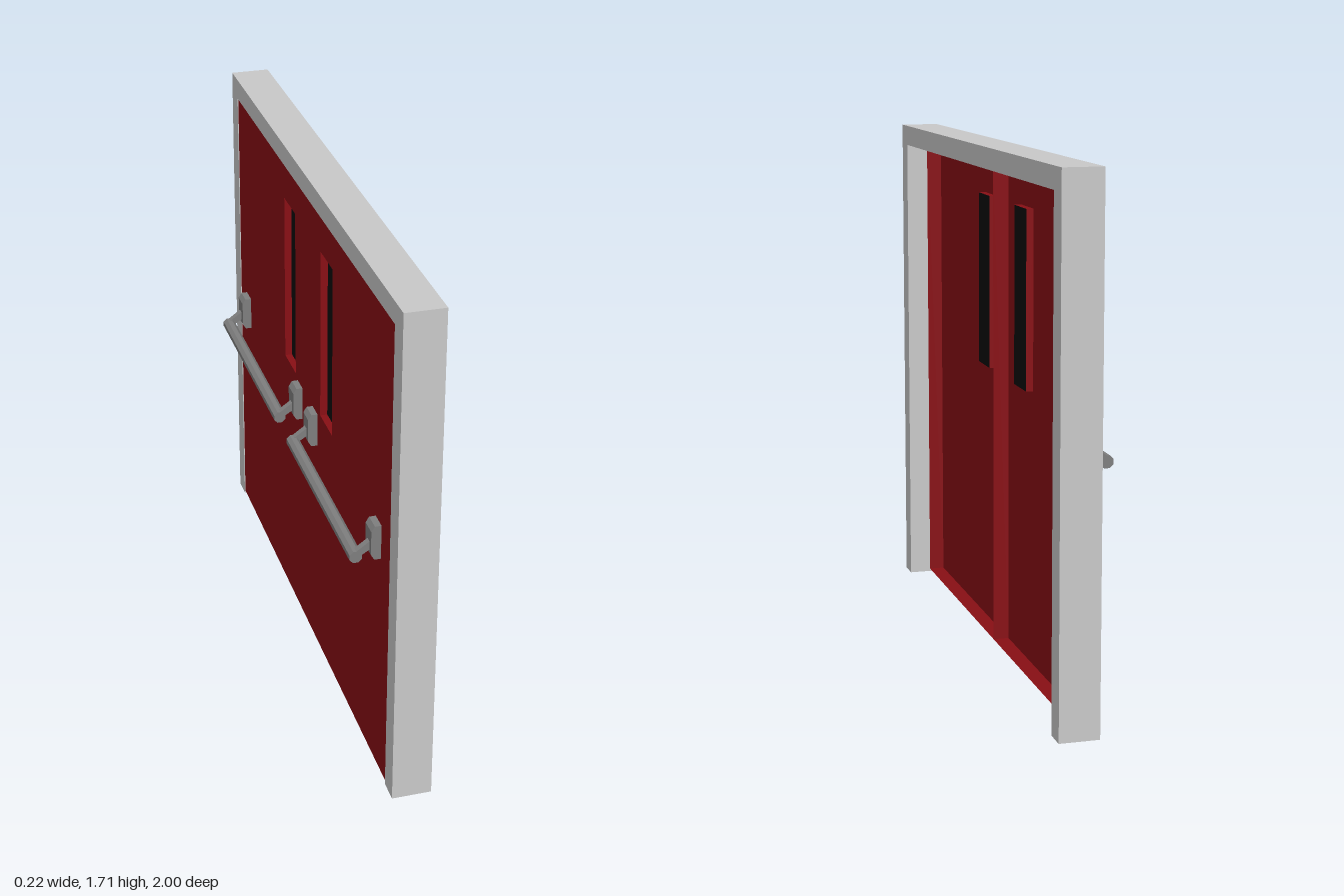
import * as THREE from 'three';

const DS = THREE.DoubleSide;
const grey = new THREE.MeshStandardMaterial({ color: 0xcccccc, side: DS });
const red = new THREE.MeshStandardMaterial({ color: 0x8a0f15, side: DS });
const black = new THREE.MeshStandardMaterial({ color: 0x0c0c0c, side: DS });
const steel = new THREE.MeshStandardMaterial({ color: 0x808080, flatShading: true });

// Box given by its limits; faces in `omit` (0..5 = +x -x +y -y +z -z) are left open
function box(name, material, [x0, x1], [y0, y1], [z0, z1], omit = []) {
  const g = new THREE.BoxGeometry(x1 - x0, y1 - y0, z1 - z0);
  const index = Array.from(g.index.array).filter((_, i) => !omit.includes(Math.floor(i / 6)));
  g.setIndex(index);
  g.clearGroups();
  g.translate((x0 + x1) / 2, (y0 + y1) / 2, (z0 + z1) / 2);
  const m = new THREE.Mesh(g, material);
  m.name = name;
  return m;
}

// Rectangle in the z-y plane
function rect(C, [z0, z1], [y0, y1]) {
  return new C([[z0, y0], [z1, y0], [z1, y1], [z0, y1]].map(p => new THREE.Vector2(...p)));
}

// Sheet metal door leaf, open at the back, with a recessed window
function doorLeaf(side) {
  const leaf = new THREE.Group();
  leaf.name = side > 0 ? 'leftLeaf' : 'rightLeaf';
  const span = (a, b) => (side > 0 ? [a, b] : [-b, -a]);
  const face = -0.018, back = 0.035, paneX = 0.006;
  const leafZ = span(0, 0.923), leafY = [0.01, 1.638];
  const winZ = span(0.153, 0.291), winY = [0.93, 1.52];

  const shape = rect(THREE.Shape, leafZ, leafY);
  shape.holes.push(rect(THREE.Path, winZ, winY));
  const skin = new THREE.Mesh(new THREE.ShapeGeometry(shape).rotateY(-Math.PI / 2), red);
  skin.position.x = face;
  skin.name = 'leafSkin';

  const pane = new THREE.Mesh(
    new THREE.ShapeGeometry(rect(THREE.Shape, winZ, winY)).rotateY(-Math.PI / 2), black);
  pane.position.x = paneX;
  pane.name = 'windowPane';

  leaf.add(skin, pane,
    box('leafFlange', red, [face, back], leafY, leafZ, [0, 1]),
    box('windowReveal', red, [face, paneX], winY, winZ, [0, 1]));
  return leaf;
}

// Prism with an x-y profile, running along z
function prism(name, points, z0, z1) {
  const shape = new THREE.Shape(points.map(p => new THREE.Vector2(...p)));
  const g = new THREE.ExtrudeGeometry(shape, { depth: z1 - z0, bevelEnabled: false });
  const m = new THREE.Mesh(g.translate(0, 0, z0), steel);
  m.name = name;
  return m;
}

// Push bar carried by two brackets with sloping arms
function pushBar(side) {
  const group = new THREE.Group();
  group.name = side > 0 ? 'leftPushBar' : 'rightPushBar';
  const near = 0.08, far = 0.82, mid = side * (near + far) / 2;
  const bracket = [[-0.019, 0.80], [-0.019, 0.918], [-0.04, 0.918], [-0.051, 0.90], [-0.051, 0.818], [-0.04, 0.80]];
  const arm = [[-0.092, 0.802], [-0.045, 0.832], [-0.045, 0.862], [-0.098, 0.824]];

  const bar = new THREE.Mesh(new THREE.CylinderGeometry(0.0215, 0.0215, far - near, 8, 1), steel);
  bar.geometry.rotateY(Math.PI / 8).rotateX(Math.PI / 2);
  bar.position.set(-0.094, 0.808, mid);
  bar.name = 'bar';
  group.add(bar);

  for (const end of [-1, 1]) {
    const edge = mid + end * (far - near) / 2;
    const armZ = edge - end * 0.011, plateZ = edge - end * 0.014;
    group.add(prism('arm', arm, armZ - 0.0108, armZ + 0.0108));
    group.add(prism('bracket', bracket, plateZ - 0.03, plateZ + 0.03));
  }
  return group;
}

export function createModel() {
  const model = new THREE.Group();
  model.name = 'doubleDoor';

  // Surround: two jambs, open underneath, and a lintel
  const depth = [-0.02, 0.11];
  model.add(
    box('leftJamb', grey, depth, [0, 1.71], [0.925, 1], [3]),
    box('rightJamb', grey, depth, [0, 1.71], [-1, -0.925], [3]),
    box('lintel', grey, depth, [1.64, 1.71], [-0.925, 0.925], [4, 5]));

  for (const side of [-1, 1]) model.add(doorLeaf(side), pushBar(side));
  return model;
}
